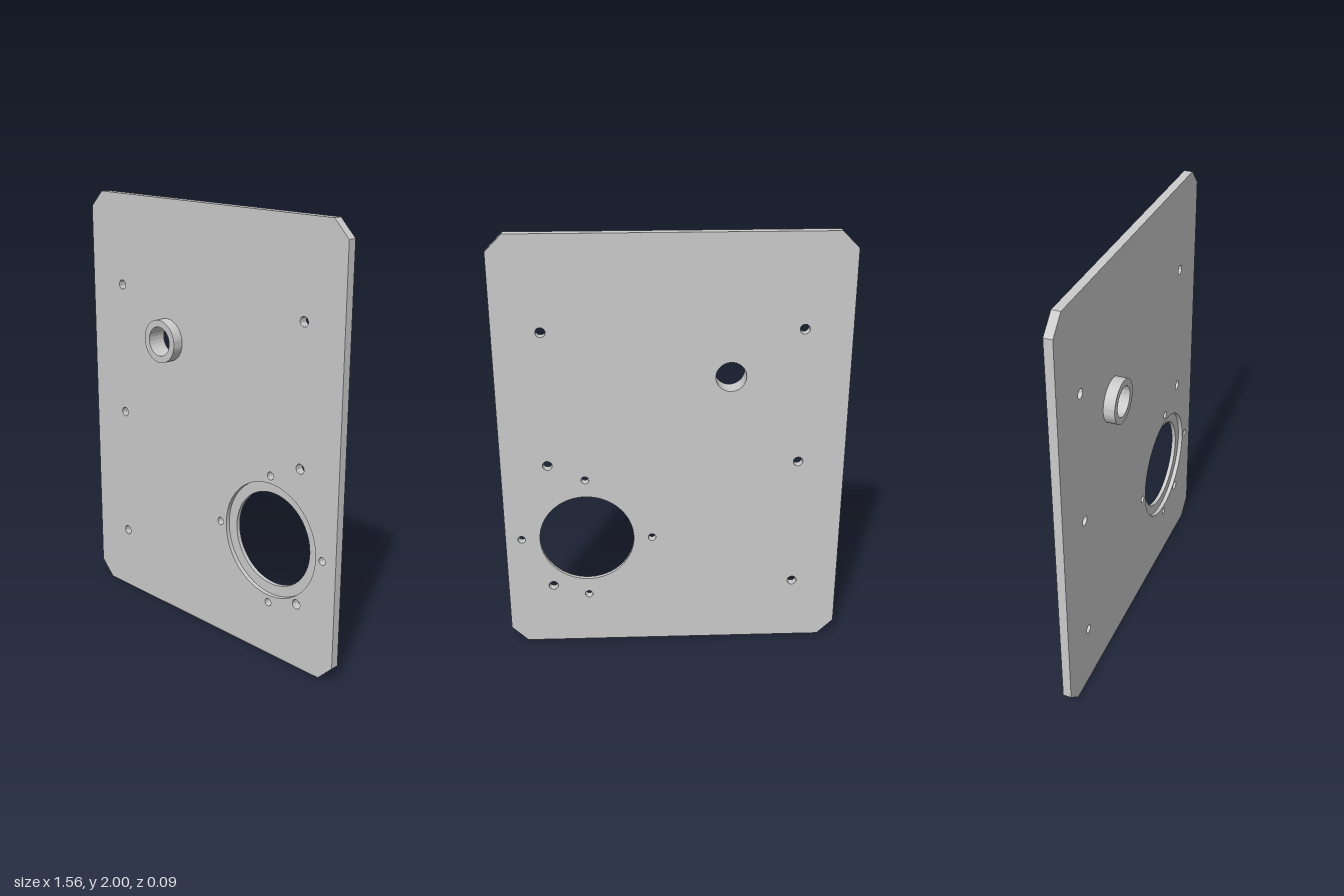
import * as THREE from 'three';
import { mergeGeometries, toCreasedNormals } from 'three/addons/utils/BufferGeometryUtils.js';

const BACK = -0.045, FRONT = -0.006, BOSS_FRONT = 0.045, STEP = -0.026;
const SEGMENTS = 64;
const material = new THREE.MeshStandardMaterial({ color: 0xcccccc, side: THREE.DoubleSide });

// Plate outline with chamfered corners, counter-clockwise
const W = 0.782, H = 2, C = 0.075;
const outline = [
  [-W + C, 0], [W - C, 0], [W, C], [W, H - C],
  [W - C, H], [-W + C, H], [-W, H - C], [-W, C],
].map(([x, y]) => new THREE.Vector2(x, y));

// Flat face of the plate at depth z, pierced by holes [x, y, radius]
function face(holes, z, flip) {
  const shape = new THREE.Shape(outline);
  for (const [x, y, r] of holes) {
    shape.holes.push(new THREE.Path().absarc(x, y, r, 0, Math.PI * 2, true));
  }
  const g = new THREE.ShapeGeometry(shape, SEGMENTS / 2);
  if (flip) {
    const idx = g.index.array;
    for (let i = 0; i < idx.length; i += 3) [idx[i], idx[i + 1]] = [idx[i + 1], idx[i]];
    g.computeVertexNormals();
  }
  return g.translate(0, 0, z).toNonIndexed();
}

// One flat wall along an outline edge
function edgeWall(a, b) {
  const length = a.distanceTo(b);
  const g = new THREE.PlaneGeometry(length, FRONT - BACK);
  g.rotateX(Math.PI / 2);
  g.rotateZ(Math.atan2(b.y - a.y, b.x - a.x));
  // the rotated plane faces -y for an edge along +x, i.e. outward
  return g.translate((a.x + b.x) / 2, (a.y + b.y) / 2, (FRONT + BACK) / 2).toNonIndexed();
}

// Turned surface about the z axis from a [radius, z] profile
function turned(name, x, y, profile) {
  const points = profile.map(([r, z]) => new THREE.Vector2(r, z));
  const g = new THREE.LatheGeometry(points, SEGMENTS).rotateX(Math.PI / 2);
  const mesh = new THREE.Mesh(toCreasedNormals(g, Math.PI / 6), material);
  mesh.name = name;
  mesh.position.set(x, y, 0);
  return mesh;
}

export function createModel() {
  const model = new THREE.Group();
  model.name = 'mountingPlate';

  // Screw holes: two columns of three, and four around the large opening
  const opening = { x: 0.403, y: 0.56, r: 0.219, recess: 0.268 };
  const boss = { x: -0.255, y: 1.357, r: 0.1, bore: 0.068 };
  const small = [];
  for (const x of [-0.57, 0.57]) for (const y of [0.307, 0.94, 1.573]) small.push([x, y, 0.022]);
  for (const [dx, dy] of [[1, 0], [0, 1], [-1, 0], [0, -1]]) {
    small.push([opening.x + dx * 0.304, opening.y + dy * 0.304, 0.018]);
  }

  // Plate faces and outer edges
  const parts = [
    face([...small, [opening.x, opening.y, opening.recess], [boss.x, boss.y, boss.r]], FRONT, false),
    face([...small, [opening.x, opening.y, opening.r], [boss.x, boss.y, boss.bore]], BACK, true),
    ...outline.map((p, i) => edgeWall(p, outline[(i + 1) % outline.length])),
  ];
  const plate = new THREE.Mesh(mergeGeometries(parts), material);
  plate.name = 'plate';
  model.add(plate);

  // Hole walls
  for (const [x, y, r] of small) model.add(turned('screwHole', x, y, [[r, FRONT], [r, BACK]]));

  // Large opening with a shallow recess at the front
  model.add(turned('recessedOpening', opening.x, opening.y, [
    [opening.recess, FRONT], [opening.recess, STEP], [opening.r, STEP], [opening.r, BACK],
  ]));

  // Raised boss with a bore through the plate
  model.add(turned('boss', boss.x, boss.y, [
    [boss.r, FRONT], [boss.r, BOSS_FRONT], [boss.bore, BOSS_FRONT], [boss.bore, BACK],
  ]));

  return model;
}
